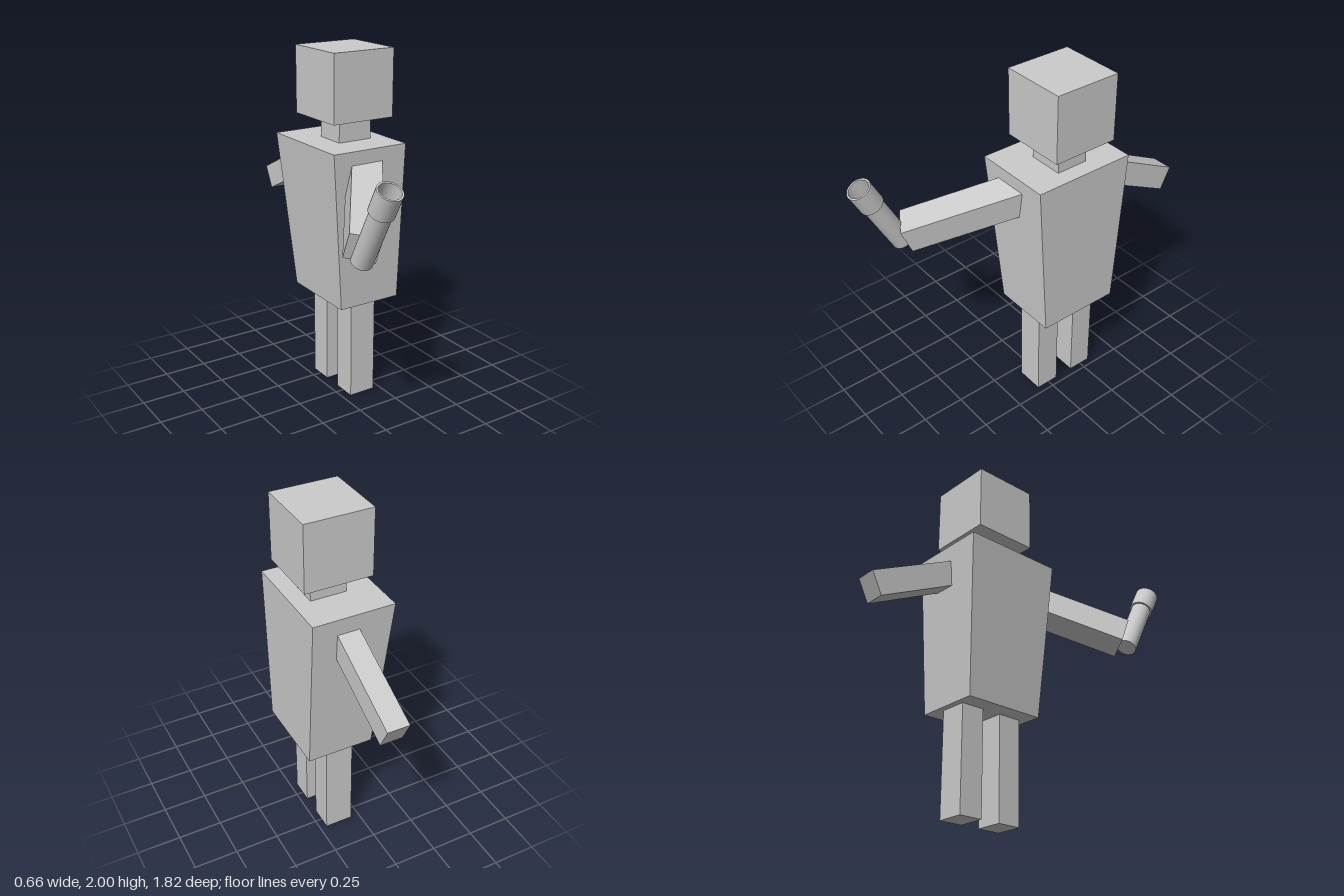
import * as THREE from 'three';

const material = new THREE.MeshStandardMaterial({ color: 0xcccccc });

function part(name, geometry) {
  const mesh = new THREE.Mesh(geometry, material);
  mesh.name = name;
  return mesh;
}

// Box given by its lower and upper limits on each axis
function block(name, [x0, x1], [y0, y1], [z0, z1]) {
  const mesh = part(name, new THREE.BoxGeometry(x1 - x0, y1 - y0, z1 - z0));
  mesh.position.set((x0 + x1) / 2, (y0 + y1) / 2, (z0 + z1) / 2);
  return mesh;
}

// Straight arm reaching back from its hand end towards the torso
function arm(name, width, height, length, end, direction, up) {
  const geometry = new THREE.BoxGeometry(width, height, length);
  geometry.translate(0, 0, -length / 2);
  const z = new THREE.Vector3(...direction).normalize();
  const x = new THREE.Vector3(...up).cross(z).normalize();
  const y = z.clone().cross(x);
  const mesh = part(name, geometry);
  mesh.quaternion.setFromRotationMatrix(new THREE.Matrix4().makeBasis(x, y, z));
  mesh.position.set(...end);
  return mesh;
}

// Tapered torso: narrower at the bottom, with the left side kept upright
function torso() {
  const geometry = new THREE.BoxGeometry(1, 1, 1);
  const p = geometry.attributes.position;
  for (let i = 0; i < p.count; i++) {
    const top = p.getY(i) > 0;
    const x = p.getX(i) > 0 ? 0.33 : top ? -0.13 : -0.05;
    const z = p.getZ(i) > 0 ? (top ? 0.18 : 0.13) : (top ? -0.415 : -0.35);
    p.setXYZ(i, x, top ? 1.5 : 0.59, z);
  }
  geometry.computeVertexNormals();
  return part('torso', geometry);
}

// Round handle with a wider hollow cup on top, tilted forward
function torch() {
  const group = new THREE.Group();
  group.name = 'torch';
  const handle = part('handle', new THREE.CylinderGeometry(0.057, 0.057, 0.335, 32));
  handle.position.y = 0.1675;
  group.add(handle);

  const bottom = 0.332, top = 0.467, outer = 0.067, inner = 0.057;
  const wall = (name, r, side) => {
    const mesh = part(name, new THREE.CylinderGeometry(r, r, top - bottom, 32, 1, true));
    mesh.position.y = (bottom + top) / 2;
    if (side < 0) {
      // Turn the inner wall to face the axis
      mesh.geometry.index.array.reverse();
      const n = mesh.geometry.attributes.normal;
      for (let i = 0; i < n.array.length; i++) n.array[i] *= -1;
    }
    group.add(mesh);
  };
  wall('cupOuterWall', outer, 1);
  wall('cupInnerWall', inner, -1);
  for (const [name, y, turn] of [['cupRim', top, -1], ['cupBase', bottom, 1]]) {
    const ring = part(name, new THREE.RingGeometry(inner, outer, 32));
    ring.rotation.x = turn * Math.PI / 2;
    ring.position.y = y;
    group.add(ring);
  }
  group.position.set(-0.267, 1.09, 0.634);
  group.rotation.x = THREE.MathUtils.degToRad(27.8);
  return group;
}

export function createModel() {
  const model = new THREE.Group();
  model.name = 'blockFigure';
  model.add(
    block('head', [-0.06, 0.32], [1.625, 2], [-0.31, 0.07]),
    block('neck', [0.03, 0.235], [1.5, 1.625], [-0.2, -0.015]),
    torso(),
    block('frontLeg', [0.05, 0.21], [0, 0.59], [-0.06, 0.08]),
    block('backLeg', [0.05, 0.21], [0, 0.59], [-0.315, -0.175]),
    arm('frontArm', 0.166, 0.157, 0.75, [-0.25, 1.15, 0.617], [-0.36, -0.218, 0.51], [0, 0.145, 0.06]),
    arm('backArm', 0.125, 0.139, 0.65, [0.13, 1.098, -0.875], [0, -0.245, -0.495], [0, 0.495, -0.245]),
    torch()
  );
  return model;
}
